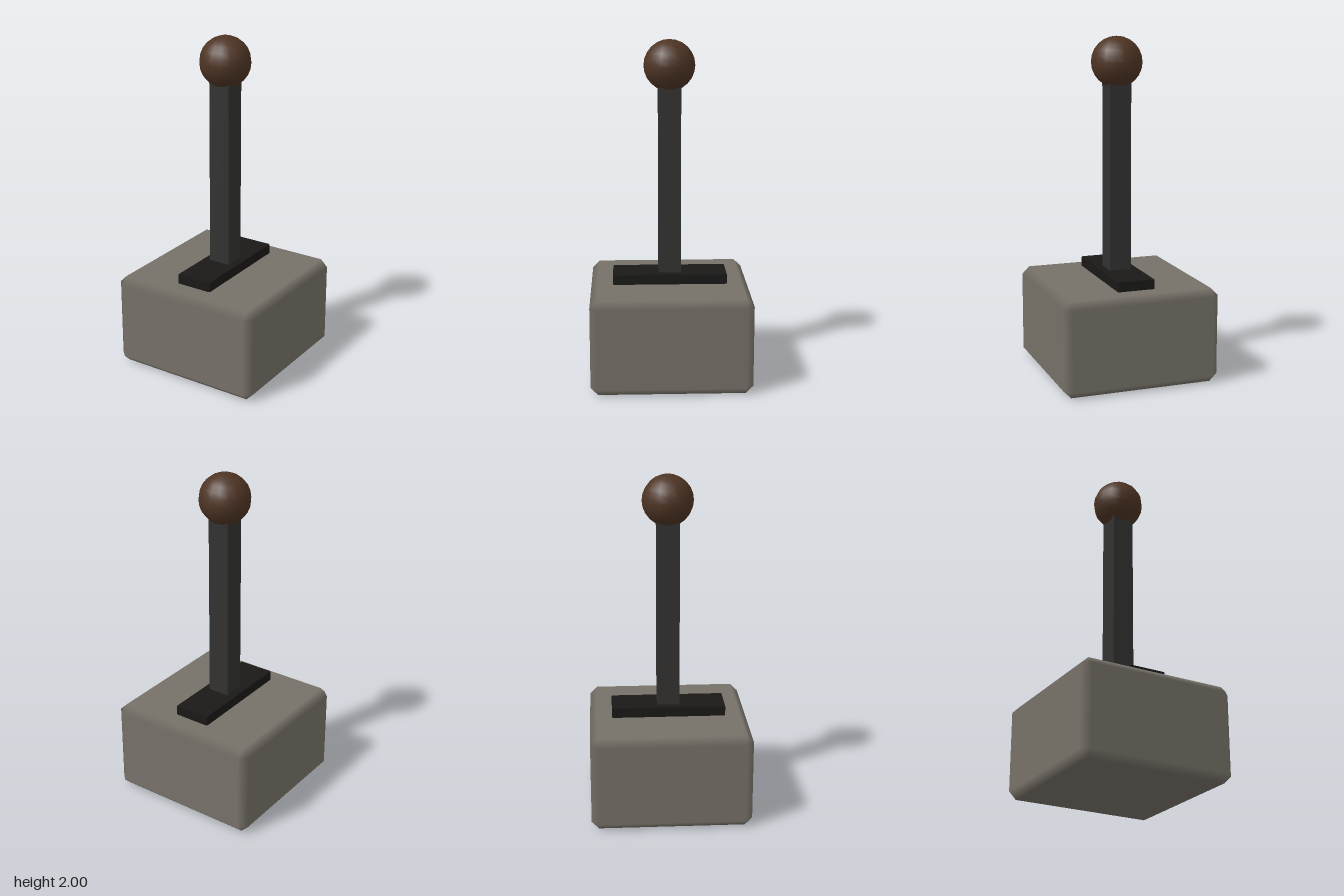
import * as THREE from 'three';
import { ConvexGeometry } from 'three/addons/geometries/ConvexGeometry.js';

// Box with single-step bevels whose normals blend from face to face
function bevelBox(w, h, d, bevel) {
  const half = [w / 2, h / 2, d / 2];
  const points = [];
  for (const sx of [-1, 1]) for (const sy of [-1, 1]) for (const sz of [-1, 1]) {
    for (let axis = 0; axis < 3; axis++) {
      const p = [sx, sy, sz].map((s, i) => s * (half[i] - (i === axis ? 0 : bevel)));
      points.push(new THREE.Vector3(...p));
    }
  }
  const geometry = new ConvexGeometry(points);
  const pos = geometry.attributes.position;
  const normal = geometry.attributes.normal;
  // Each corner point lies on exactly one flat face: take that face's normal
  for (let i = 0; i < pos.count; i++) {
    const p = [pos.getX(i), pos.getY(i), pos.getZ(i)];
    normal.setXYZ(i, ...p.map((v, a) => (Math.abs(v) > half[a] - bevel / 2 ? Math.sign(v) : 0)));
  }
  return geometry;
}

export function createModel() {
  const model = new THREE.Group();
  model.name = 'leverSwitch';

  const add = (name, geometry, color, y) => {
    const mesh = new THREE.Mesh(geometry, new THREE.MeshStandardMaterial({ color }));
    mesh.name = name;
    mesh.position.y = y;
    model.add(mesh);
  };

  // Stone block standing on the ground
  add('base', bevelBox(0.94, 0.565, 0.94, 0.044), 0x767168, 0.2825);
  // Dark slot plate running front to back
  add('slotPlate', bevelBox(0.225, 0.08, 0.675, 0.006), 0x1a1918, 0.585);
  // Square lever arm, sunk into plate and knob
  add('leverArm', new THREE.BoxGeometry(0.132, 1.17, 0.132), 0x333231, 1.185);
  // Round wooden knob
  add('knob', new THREE.SphereGeometry(0.15, 16, 12), 0x4e3424, 1.85);

  return model;
}
